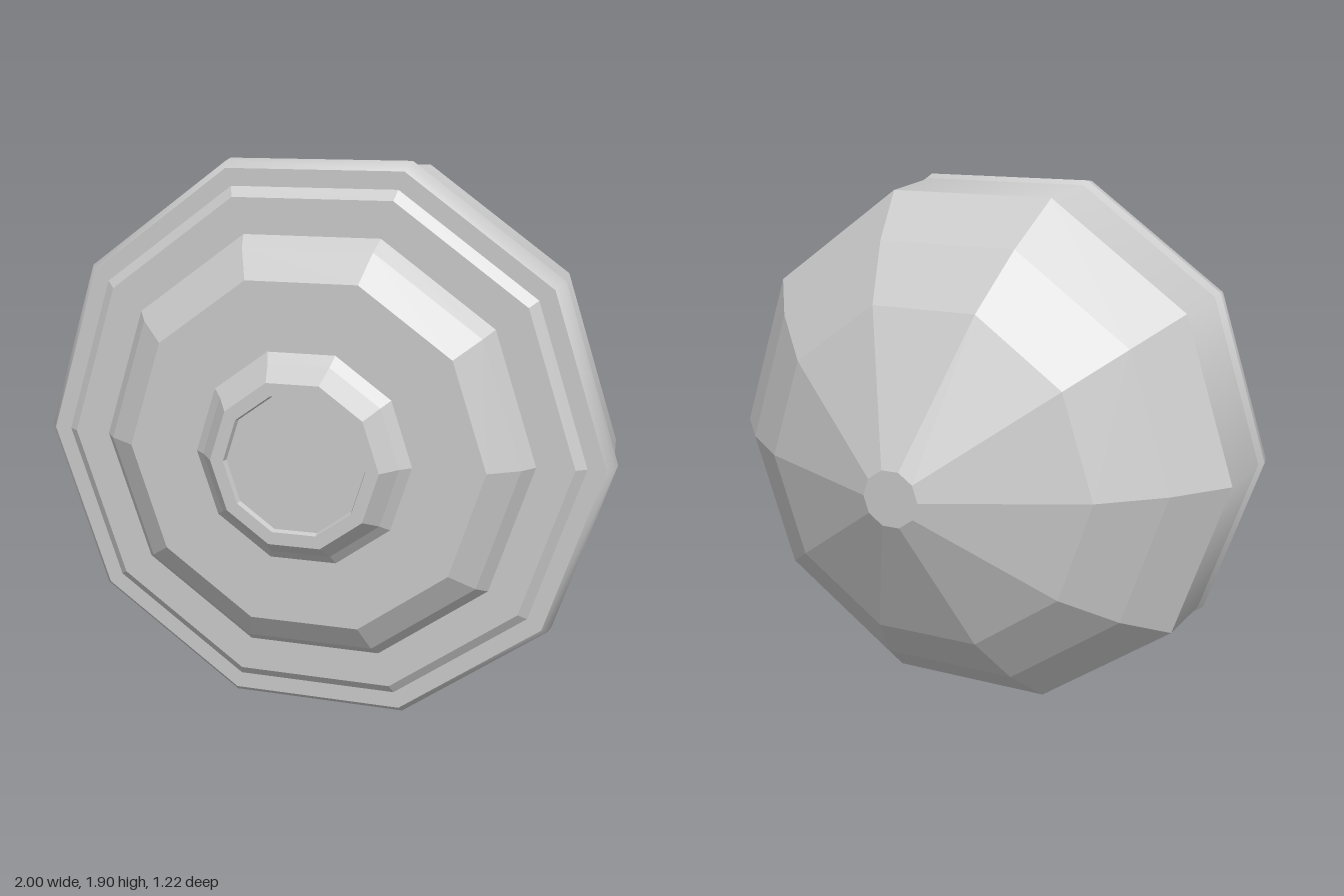
import * as THREE from 'three';

const SIDES = 10;
const CENTRE_Y = 0.951;

// Ten-sided ring turned about the z axis; profile is [radius, z] from back to front
function turned(name, profile, flatShading) {
  const points = profile.map(([r, z]) => new THREE.Vector2(r, z));
  const geometry = new THREE.LatheGeometry(points, SIDES, Math.PI / 2);
  geometry.rotateX(Math.PI / 2);
  const material = new THREE.MeshStandardMaterial({
    color: 0xcccccc, flatShading, side: THREE.DoubleSide,
  });
  const mesh = new THREE.Mesh(geometry, material);
  mesh.name = name;
  mesh.position.y = CENTRE_Y;
  return mesh;
}

export function createModel() {
  const model = new THREE.Group();
  model.name = 'facetedDome';

  model.add(
    // Faceted dome with a small flat tip at the back
    turned('backDome', [[0, -0.61], [0.1, -0.61], [0.61, -0.37], [0.81, -0.2], [0.967, -0.01]], true),

    // Smooth side wall and raised lip
    turned('sideBand', [[0.967, -0.01], [0.985, 0.27]], false),
    turned('lipBack', [[0.985, 0.27], [1, 0.3]], false),
    turned('lipFront', [[1, 0.3], [0.993, 0.35], [0.97, 0.375]], false),

    // Stepped front plate
    turned('frontPlate', [[0.97, 0.375], [0.91, 0.375], [0.875, 0.4], [0.75, 0.4]], true),

    // Bevelled boss
    turned('boss', [[0.75, 0.4], [0.71, 0.45], [0.61, 0.515], [0.37, 0.515]], true),

    // Central hub with a shallow recess
    turned('hub', [[0.37, 0.515], [0.335, 0.545], [0.285, 0.61], [0.24, 0.61], [0.235, 0.59], [0, 0.59]], true),
  );
  return model;
}
